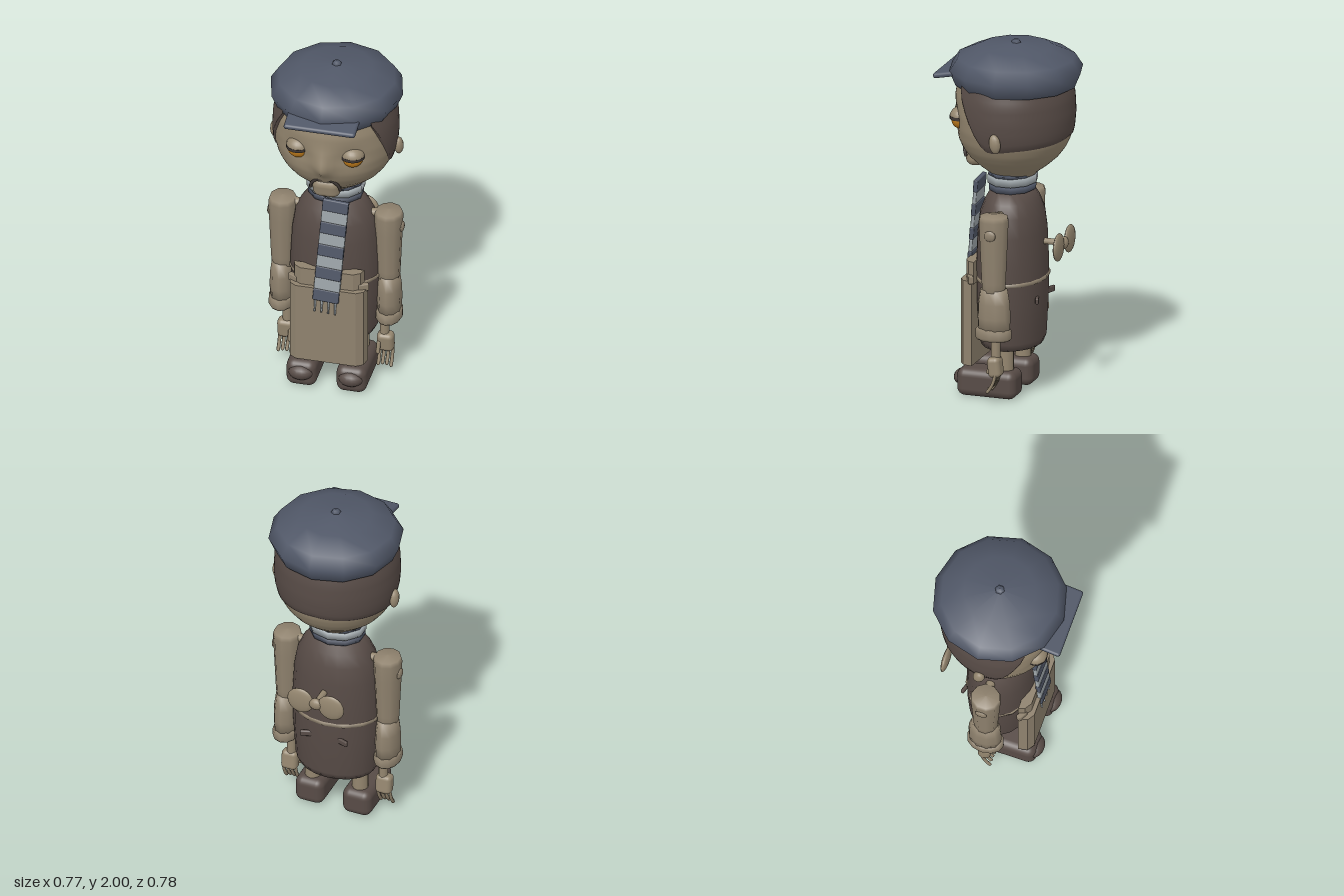
import * as THREE from 'three';
import { RoundedBoxGeometry } from 'three/addons/geometries/RoundedBoxGeometry.js';

const paint = (name, color) => new THREE.MeshStandardMaterial({ name, color });

export function createModel() {
  const root = new THREE.Group();
  root.name = 'windUpPuppet';
  const wood = paint('wood', 0x94866f);
  const cloth = paint('sleeveCloth', 0x8f826e);
  const brown = paint('darkBrown', 0x574b46);
  const slate = paint('slateBlue', 0x505767);
  const pale = paint('paleGrey', 0x9ca4a8);
  const amber = paint('amber', 0xc07c1c);
  const dark = paint('darkLine', 0x3e3734);

  const add = (name, geo, mat, p = [0, 0, 0], s = [1, 1, 1], r = [0, 0, 0], parent = root) => {
    const m = new THREE.Mesh(geo, mat);
    m.name = name;
    m.position.set(...p);
    m.scale.set(...s);
    m.rotation.set(...r);
    parent.add(m);
    return m;
  };
  const lathe = (pts, seg, start = 0, len = Math.PI * 2) =>
    new THREE.LatheGeometry(pts.map(([r, y]) => new THREE.Vector2(r, y)), seg, start, len);
  const ball = (seg = 16) => new THREE.SphereGeometry(1, seg, Math.round(seg * 0.7));
  const mix = THREE.MathUtils.lerp;
  // straight-line lookup in a list of [key, value]
  const lookup = (table, k) => {
    for (let i = 1; i < table.length; i++) {
      const [a, va] = table[i - 1], [b, vb] = table[i];
      if (k <= b) return mix(va, vb, THREE.MathUtils.clamp((k - a) / (b - a), 0, 1));
    }
    return table[table.length - 1][1];
  };
  const reshape = (geo, rule) => {
    const pos = geo.attributes.position, v = new THREE.Vector3();
    for (let i = 0; i < pos.count; i++) {
      v.fromBufferAttribute(pos, i);
      rule(v);
      pos.setXYZ(i, v.x, v.y, v.z);
    }
    geo.computeVertexNormals();
    return geo;
  };

  // Head: turned form, flatter in front, with nose and shallow eye sockets
  const skull = [[1.2, 0.09], [1.26, 0.145], [1.3, 0.2], [1.35, 0.255], [1.4, 0.293], [1.45, 0.317],
    [1.52, 0.334], [1.6, 0.34], [1.7, 0.335], [1.8, 0.31]];
  const rows = [];
  for (let i = 0; i <= 40; i++) {
    const y = mix(1.2, 1.8, i / 40);
    rows.push([lookup(skull, y), y]);
  }
  const bell = (d, w) => Math.exp(-((d / w) ** 2));
  const head = reshape(lathe(rows, 64, Math.PI), (v) => {
    if (v.z <= 0) return;
    v.z *= mix(1, 0.92, Math.min(1, v.z / 0.15));
    if (v.z < 0.1) return;
    v.z += 0.045 * bell(v.x, 0.04) * bell(v.y - 1.5, v.y > 1.5 ? 0.09 : 0.05);
    v.z -= 0.022 * bell(Math.abs(v.x) - 0.15, 0.07) * bell(v.y - 1.57, 0.07);
  });
  add('head', head, wood);

  // Hair: shell around sides and back, tucked in along its lower edge
  const hairline = [[50, 1.76], [56, 1.69], [66, 1.57], [76, 1.45], [84, 1.41], [110, 1.43], [180, 1.46]];
  const strands = [];
  for (let i = 0; i <= 12; i++) strands.push([1, i / 12]);
  const rad = Math.PI / 180;
  const hair = reshape(lathe(strands, 48, 50 * rad, 260 * rad), (v) => {
    const a = Math.atan2(v.x, v.z);
    const y = mix(lookup(hairline, Math.abs(a) / rad), 1.79, v.y);
    const r = lookup(skull, y) + (v.y === 0 ? -0.01 : 0.007);
    v.set(Math.sin(a) * r, y, Math.cos(a) * r);
  });
  add('hair', hair, brown);

  // Eyes with heavy lids, ears
  for (const [s, y] of [[-1, 1.585], [1, 1.567]]) {
    const eye = new THREE.Group();
    eye.name = s > 0 ? 'leftEye' : 'rightEye';
    eye.position.set(s * 0.152, y, 0.243);
    root.add(eye);
    add('eyeball', ball(20), amber, [0, 0, 0], [0.06, 0.06, 0.055], [0, 0, 0], eye);
    add('eyelid', new THREE.SphereGeometry(1, 20, 8, 0, Math.PI * 2, 0, Math.PI / 2), wood,
      [0, 0.012, 0], [0.066, 0.054, 0.062], [0, 0, 0], eye);
    add('lidEdge', new THREE.CylinderGeometry(0.066, 0.066, 0.018, 20), dark,
      [0, 0.008, 0], [1, 1, 0.95], [0, 0, 0], eye);
    add('ear', ball(12), wood, [s * 0.347, 1.5, -0.02], [0.026, 0.055, 0.033], [0.15, 0, 0]);
  }

  // Hinged jaw under a dark mouth arch
  add('jaw', new RoundedBoxGeometry(0.155, 0.13, 0.14, 4, 0.045), wood, [0, 1.337, 0.19], [1, 1, 1], [0.2, 0, 0]);
  add('mouthArch', new THREE.TorusGeometry(0.083, 0.009, 6, 20, Math.PI), dark,
    [0, 1.33, 0.24], [1, 1, 1], [0.3, 0, 0]);

  // Cap with peak and button
  add('cap', lathe([[0, 1.755], [0.31, 1.75], [0.335, 1.753], [0.37, 1.835], [0.325, 1.905], [0.2, 1.962], [0, 1.985]], 12),
    slate, [0, 0, -0.02]);
  add('capButton', lathe([[0.027, 1.965], [0.027, 1.985], [0.018, 1.997], [0, 2]], 6), slate, [0, 0, -0.02]);
  add('capPeak', new RoundedBoxGeometry(0.4, 0.03, 0.17, 2, 0.014), slate, [0, 1.818, 0.31], [1, 1, 1], [0.2, 0, 0]);

  // Neck and wrapped scarf
  add('neck', new THREE.CylinderGeometry(0.1, 0.1, 0.14, 12), wood, [0, 1.2, 0]);
  const wraps = [[1.15, 1.195, 0.155, slate], [1.19, 1.245, 0.163, pale], [1.235, 1.265, 0.157, slate]];
  for (const [lo, hi, r, mat] of wraps) {
    add('scarfWrap', lathe([[0.08, lo], [r, lo + 0.006], [r, hi - 0.006], [0.08, hi]], 10), mat, [0, 0, 0], [1, 1, 0.84]);
  }

  // Hanging striped scarf end with fringe
  const tail = new THREE.Group();
  tail.name = 'scarfTail';
  tail.position.set(0.043, 1.21, 0.172);
  tail.rotation.set(-0.105, 0, -0.068);
  root.add(tail);
  for (let i = 0; i < 9; i++) {
    add('scarfStripe', new RoundedBoxGeometry(0.146, 0.072, i % 2 ? 0.022 : 0.027, 1, 0.006),
      i % 2 ? pale : slate, [0, -0.035 - i * 0.07, 0], [1, 1, 1], [0, 0, 0], tail);
  }
  for (let i = 0; i < 4; i++) {
    add('fringe', new THREE.CylinderGeometry(0.007, 0.005, 0.08, 5), pale,
      [-0.057 + i * 0.038, -0.665, 0], [1, 1, 1], [0, 0, 0.05], tail);
  }

  // Coat body, waist string and rear pocket flaps
  add('coat', lathe([[0, 0.28], [0.215, 0.28], [0.235, 0.32], [0.25, 0.55], [0.252, 0.75], [0.243, 0.92],
    [0.225, 1.03], [0.19, 1.1], [0.145, 1.16], [0, 1.18]], 20), brown, [0, 0, 0], [1, 1, 0.76]);
  add('apronString', lathe([[0.24, 0.65], [0.256, 0.653], [0.256, 0.672], [0.24, 0.675]], 14), cloth, [0, 0, 0], [1, 1, 0.77]);
  for (const s of [-1, 1]) {
    add('pocketFlap', new RoundedBoxGeometry(0.085, 0.035, 0.02, 1, 0.008), brown,
      [s * 0.1, 0.56, -0.177], [1, 1, 1], [0, s * 0.33, 0]);
  }

  // Apron: bent panel extruded upwards, plus bib and side tabs
  const panel = (w, front, back, lo, hi) => {
    const edge = [[-w, back], [-w + 0.012, front - 0.025], [-w + 0.05, front], [w - 0.05, front],
      [w - 0.012, front - 0.025], [w, back]];
    const shape = new THREE.Shape(edge.map(([x, z]) => new THREE.Vector2(x, -z)));
    const g = new THREE.ExtrudeGeometry(shape, { depth: hi - lo, bevelEnabled: false });
    return g.rotateX(-Math.PI / 2).translate(0, lo, 0);
  };
  add('apron', panel(0.218, 0.238, 0.16, 0.18, 0.66), cloth);
  add('apronBib', panel(0.197, 0.215, 0.155, 0.64, 0.765), cloth);
  for (const s of [-1, 1]) {
    add('apronTab', new RoundedBoxGeometry(0.06, 0.045, 0.03, 1, 0.006), cloth, [s * 0.195, 0.668, 0.175], [1, 1, 1], [0, s * 0.5, 0]);
  }

  // Arms, hands, legs and shoes
  const upper = [[0, 0.56], [0.055, 0.57], [0.064, 0.7], [0.075, 0.95], [0.079, 1.05], [0.072, 1.075], [0, 1.085]];
  const lower = [[0, 0.4], [0.064, 0.41], [0.068, 0.5], [0.066, 0.58], [0.056, 0.66], [0, 0.67]];
  const cuff = [[0.03, 0.375], [0.066, 0.375], [0.074, 0.39], [0.073, 0.425], [0.064, 0.44], [0.03, 0.44]];
  for (const s of [-1, 1]) {
    const arm = new THREE.Group();
    arm.name = s > 0 ? 'leftArm' : 'rightArm';
    arm.position.x = s * 0.297;
    root.add(arm);
    add('upperSleeve', lathe(upper, 10), cloth, [0, 0, 0.003], [1, 1, 1.08], [0, 0, 0], arm);
    add('lowerSleeve', lathe(lower, 10), cloth, [0.003 * s, 0, 0], [1, 1, 1.4], [0, 0, 0], arm);
    add('cuff', lathe(cuff, 12), cloth, [0.003 * s, 0, 0.003], [1, 1, 1.42], [0, 0, 0], arm);
    add('shoulderPeg', new THREE.CylinderGeometry(0.025, 0.025, 0.12, 10), wood,
      [-s * 0.06, 1.05, 0], [1, 1, 1], [0, 0, Math.PI / 2], arm);
    add('sleeveButton', ball(10), cloth, [s * 0.074, 0.98, 0], [0.012, 0.03, 0.035], [0, 0, 0], arm);
    add('wrist', new THREE.CylinderGeometry(0.026, 0.026, 0.16, 10), wood, [-s * 0.025, 0.31, 0], [1, 1, 1], [0, 0, 0], arm);
    add('palm', new RoundedBoxGeometry(0.092, 0.115, 0.072, 3, 0.025), wood, [-s * 0.018, 0.213, 0], [1, 1, 1], [0.12, 0, 0], arm);
    for (let i = 0; i < 4; i++) {
      const x = s * (-0.053 + i * 0.024), len = i === 1 || i === 2 ? 0.075 : 0.085;
      const curl = new THREE.QuadraticBezierCurve3(new THREE.Vector3(x, 0.18, -0.012),
        new THREE.Vector3(x, 0.12, -0.005), new THREE.Vector3(x, 0.16 - len, 0.033));
      add('finger', new THREE.TubeGeometry(curl, 6, 0.01, 6), wood, [0, 0, 0], [1, 1, 1], [0, 0, 0], arm);
      add('fingerTip', ball(6), wood, [x, 0.16 - len, 0.033], [0.01, 0.01, 0.01], [0, 0, 0], arm);
    }
    add('thumb', new THREE.CapsuleGeometry(0.012, 0.05, 3, 6), wood, [-s * 0.05, 0.19, 0.045], [1, 1, 1], [-0.3, 0, 0], arm);

    add('leg', new THREE.CylinderGeometry(0.045, 0.045, 0.22, 12), wood, [s * 0.14, 0.22, -0.01]);
    add('shoe', new RoundedBoxGeometry(0.168, 0.158, 0.34, 4, 0.045), brown, [s * 0.14, 0.082, 0.083]);
    add('toeCap', ball(14), brown, [s * 0.14, 0.095, 0.235], [0.07, 0.045, 0.05]);
  }

  // Wind-up key on the back
  const key = new THREE.Group();
  key.name = 'windUpKey';
  key.position.set(0, 0.867, -0.297);
  root.add(key);
  add('keyShaft', new THREE.CylinderGeometry(0.018, 0.018, 0.15, 10), wood, [0, 0, 0.07], [1, 1, 1], [Math.PI / 2, 0, 0], key);
  add('keyHub', ball(12), wood, [0, 0, 0], [0.04, 0.035, 0.024], [0, 0, 0], key);
  for (const s of [-1, 1]) {
    add('keyWing', ball(14), wood, [s * 0.09, 0, 0], [0.078, 0.078, 0.02], [0, 0, 0], key);
  }
  return root;
}
